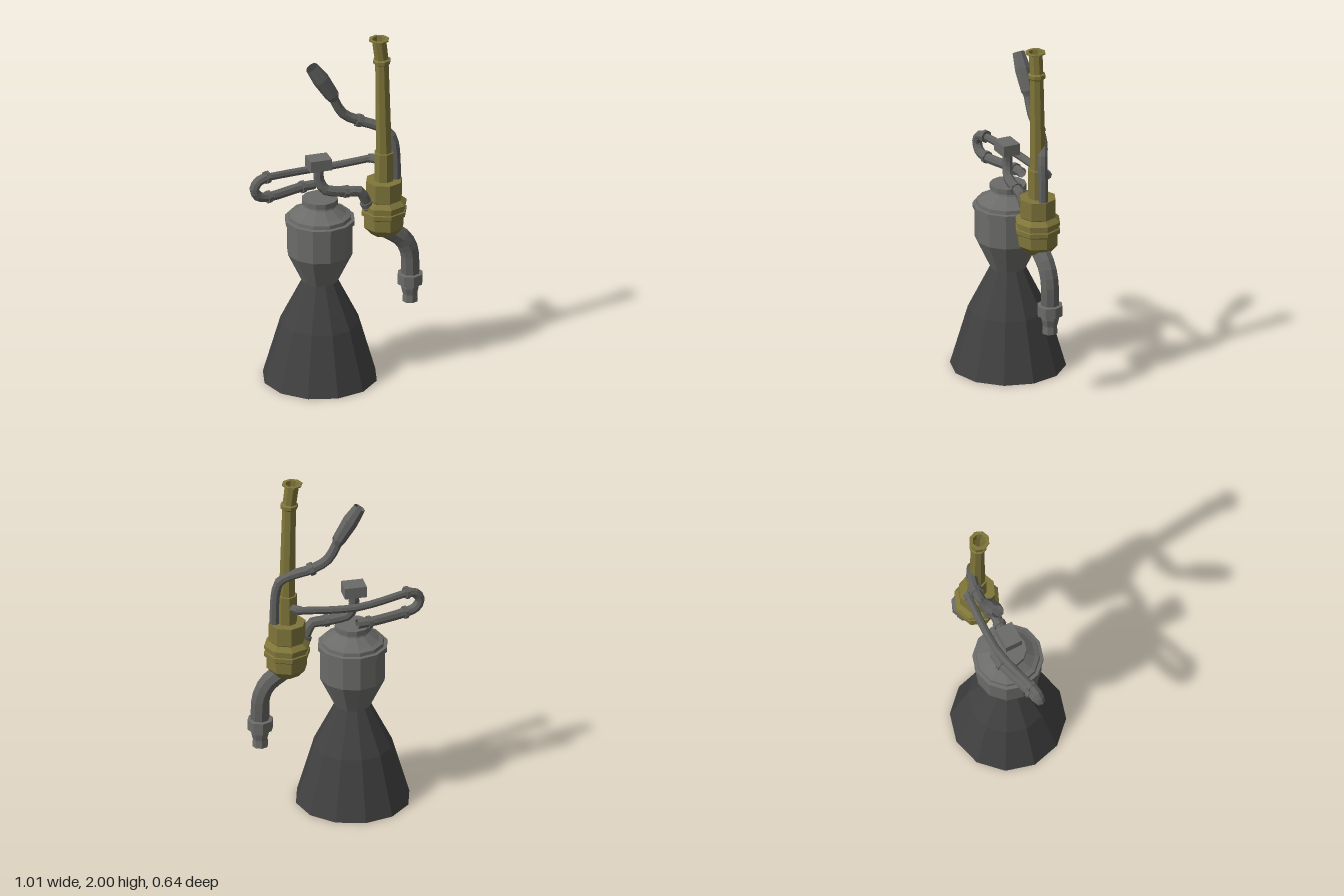
import * as THREE from 'three';

const mat = (name, color, side = THREE.FrontSide) => {
  const m = new THREE.MeshStandardMaterial({ color, side, flatShading: true });
  m.name = name;
  return m;
};
const V = (p) => new THREE.Vector3(...p);

export function createModel() {
  const model = new THREE.Group();
  model.name = 'rocketEngine';
  const darkMetal = mat('dark nozzle metal', 0x414141, THREE.DoubleSide);
  const steel = mat('grey steel', 0x6b6b69);
  const pipeSteel = mat('pipe steel', 0x616160, THREE.DoubleSide);
  const brass = mat('olive brass', 0x7f753a, THREE.DoubleSide);

  const add = (name, geo, material, parent = model) => {
    const m = new THREE.Mesh(geo, material);
    m.name = name;
    parent.add(m);
    return m;
  };
  // Turned part from [radius, height] pairs, listed bottom to top
  const turned = (name, profile, sides, x, material) => {
    const pts = profile.map(([r, y]) => new THREE.Vector2(r, y));
    add(name, new THREE.LatheGeometry(pts, sides), material).position.x = x;
  };
  // Straight, optionally tapered section between two points
  const section = (name, a, b, ra, rb, material, open = false, sides = 8) => {
    const A = V(a), B = V(b), d = B.clone().sub(A);
    const m = add(name, new THREE.CylinderGeometry(rb, ra, d.length(), sides, 1, open), material);
    m.position.copy(A).add(B).multiplyScalar(0.5);
    m.quaternion.setFromUnitVectors(new THREE.Vector3(0, 1, 0), d.normalize());
  };
  // Bent pipe through a few points
  const pipe = (name, points, r, segments, material = pipeSteel) => {
    const curve = new THREE.CatmullRomCurve3(points.map(V), false, 'centripetal');
    add(name, new THREE.TubeGeometry(curve, segments, r, 8), material);
  };
  // Short collar centred on a point, facing along a direction
  const collar = (name, at, dir, r, h, material = pipeSteel) => {
    const d = V(dir).normalize().multiplyScalar(h / 2), c = V(at);
    section(name, c.clone().sub(d).toArray(), c.clone().add(d).toArray(), r, r, material);
  };

  // Bell nozzle and combustion chamber
  const cx = -0.095;
  turned('nozzleBell', [[0.322, 0], [0.223, 0.34], [0.1, 0.585]], 12, cx, darkMetal);
  turned('combustionChamber', [
    [0.1, 0.585], [0.185, 0.76], [0.185, 0.93], [0.197, 0.935], [0.197, 0.962], [0.178, 0.965],
    [0.175, 0.985], [0.15, 0.995], [0.09, 1.035], [0.082, 1.05], [0.102, 1.052], [0.102, 1.083], [0, 1.083],
  ], 12, cx, steel);

  // Gimbal block with feed pipe to the pump
  add('gimbalBlock', new THREE.BoxGeometry(0.125, 0.065, 0.1), steel).position.set(-0.1025, 1.297, 0.002);
  pipe('feedPipe', [
    [-0.1, 1.28, 0], [-0.1, 1.19, 0], [-0.07, 1.135, 0.012], [-0.01, 1.118, 0.02],
    [0.06, 1.108, 0.022], [0.13, 1.1, 0.028], [0.155, 1.06, 0.025], [0.2, 0.96, 0.01],
  ], 0.03, 16);
  collar('feedCollar', [0.05, 1.109, 0.022], [1, -0.1, 0], 0.037, 0.025);
  collar('feedCollar', [0.172, 1.02, 0.02], [0.4, -1, -0.1], 0.038, 0.025);

  // Hairpin return pipe
  pipe('returnPipe', [
    [-0.1, 1.125, -0.09], [-0.18, 1.125, -0.078], [-0.39, 1.125, -0.012], [-0.45, 1.14, 0],
    [-0.478, 1.185, 0.002], [-0.455, 1.23, 0], [-0.4, 1.247, -0.01],
  ], 0.028, 20);
  pipe('returnPipeUpper', [
    [-0.41, 1.246, -0.008], [-0.24, 1.232, -0.055], [-0.1, 1.224, -0.082], [0.04, 1.228, -0.084], [0.22, 1.243, -0.08],
  ], 0.022, 8);
  collar('returnCollar', [-0.4, 1.246, -0.01], [1, 0, -0.25], 0.036, 0.022);
  collar('returnCollar', [-0.39, 1.125, -0.012], [1, 0, -0.28], 0.036, 0.022);
  collar('returnCollar', [-0.17, 1.125, -0.08], [1, 0, -0.25], 0.036, 0.022);
  collar('returnEnd', [0.23, 1.243, -0.078], [1, 0, 0.1], 0.026, 0.03);
  section('returnInlet', [0.22, 1.243, -0.08], [0.278, 1.243, -0.02], 0.024, 0.024, pipeSteel);

  // Turbopump body
  const px = 0.278;
  turned('turbopump', [
    [0, 0.82], [0.075, 0.82], [0.115, 0.865], [0.115, 0.93], [0.13, 0.94], [0.13, 0.965], [0.122, 0.968],
    [0.122, 0.985], [0.13, 0.988], [0.13, 1.005], [0.1, 1.03], [0.104, 1.035], [0.104, 1.14],
    [0.056, 1.142], [0.056, 1.31], [0.04, 1.312],
  ], 8, px, brass);

  // Tall inlet pipe with flared mouth
  section('inletPipe', [px, 1.3, 0], [0.266, 1.86, 0], 0.046, 0.039, brass, true);
  section('inletRing', [0.266, 1.855, 0], [0.2655, 1.873, 0], 0.05, 0.05, brass, true);
  section('inletRingBase', [0.266, 1.845, 0], [0.266, 1.855, 0], 0.039, 0.05, brass, true);
  section('inletRingTop', [0.2655, 1.873, 0], [0.265, 1.88, 0], 0.05, 0.039, brass, true);
  section('inletNeck', [0.266, 1.86, 0], [0.25, 1.99, 0], 0.039, 0.041, brass, true);
  turned('inletMouth', [[0.041, 1.985], [0.058, 1.993], [0.058, 2], [0.038, 2], [0.034, 1.95]], 8, 0.249, brass);

  // Lower outlet pipe and its coupling
  pipe('outletPipe', [
    [0.27, 0.85, 0], [0.33, 0.815, 0], [0.39, 0.765, 0], [0.425, 0.69, 0], [0.431, 0.61, 0], [0.431, 0.53, 0],
  ], 0.053, 9);
  turned('outletCoupling', [
    [0, 0.385], [0.045, 0.385], [0.042, 0.43], [0.052, 0.47], [0.052, 0.49],
    [0.073, 0.492], [0.073, 0.552], [0.05, 0.555],
  ], 8, 0.43, steel);

  // Exhaust pipe with open horn
  pipe('exhaustPipe', [
    [0.348, 1.13, 0], [0.348, 1.22, 0], [0.342, 1.32, 0], [0.325, 1.395, -0.008], [0.27, 1.445, -0.035],
    [0.165, 1.485, -0.065], [0.075, 1.53, -0.072], [0.04, 1.575, -0.074], [0.0, 1.66, -0.075],
  ], 0.028, 16);
  collar('exhaustCollar', [0.155, 1.489, -0.066], [-1, 0.45, -0.1], 0.038, 0.03);
  section('hornBase', [0.012, 1.63, -0.075], [0, 1.66, -0.075], 0.028, 0.04, pipeSteel, true);
  section('hornBody', [0, 1.66, -0.075], [-0.065, 1.765, -0.076], 0.04, 0.047, pipeSteel, true);
  section('hornMouth', [-0.065, 1.765, -0.076], [-0.118, 1.845, -0.076], 0.047, 0.036, pipeSteel, true);

  return model;
}
